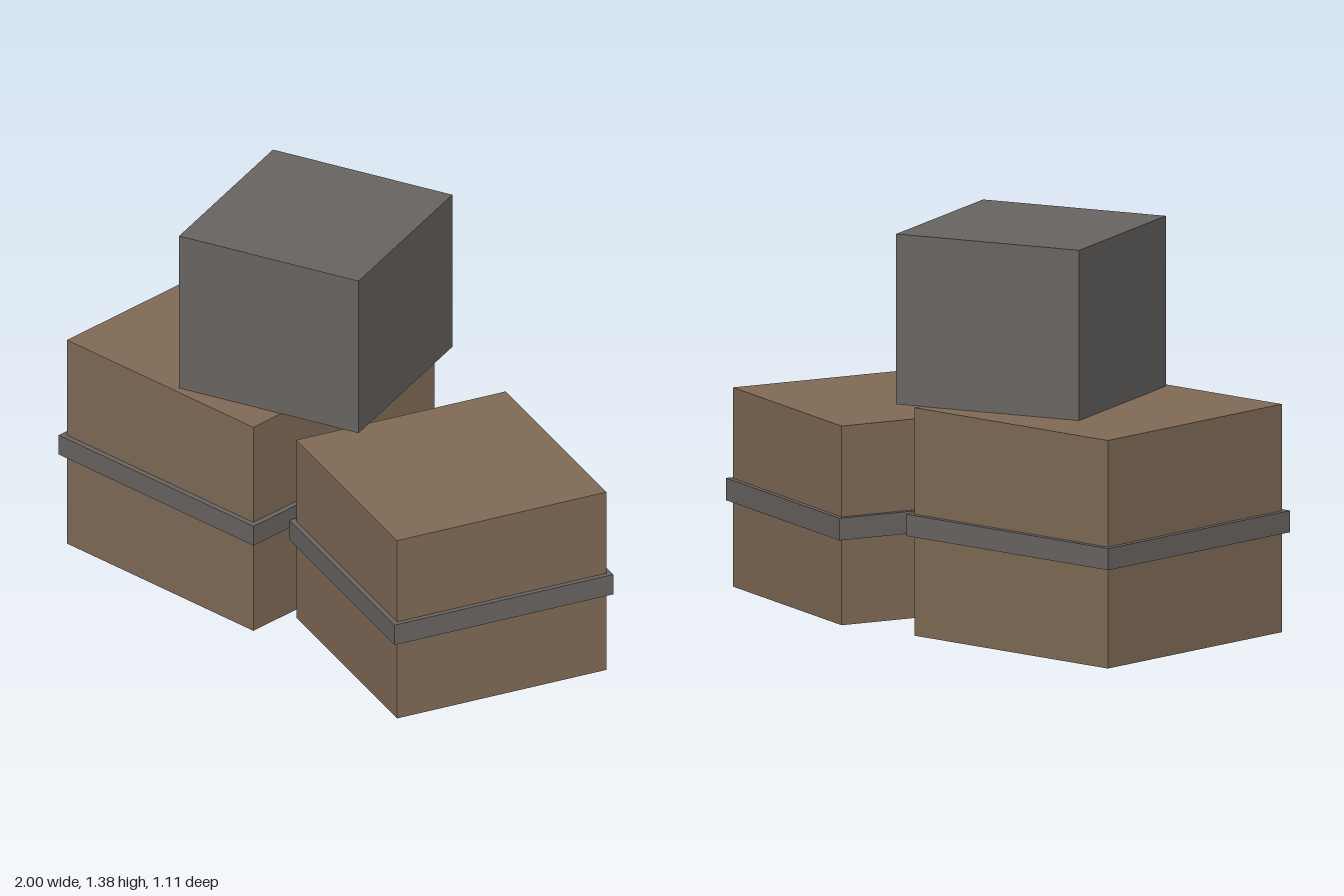
import * as THREE from 'three';

export function createModel() {
  const model = new THREE.Group();
  const brown = new THREE.MeshStandardMaterial({ color: 0x806a56 });
  brown.name = 'crateBrown';
  const grey = new THREE.MeshStandardMaterial({ color: 0x686461 });
  grey.name = 'bandGrey';

  // Square block of the given side, resting at height y0
  function block(name, side, height, y0, material) {
    const mesh = new THREE.Mesh(new THREE.BoxGeometry(side, height, side), material);
    mesh.name = name;
    mesh.position.y = y0 + height / 2;
    return mesh;
  }

  // Group of parts turned about the vertical axis
  function place(name, x, z, turn, ...parts) {
    const group = new THREE.Group();
    group.name = name;
    group.position.set(x, 0, z);
    group.rotation.y = turn;
    group.add(...parts);
    model.add(group);
  }

  // Large crate with its strap
  place('largeCrate', -0.477, 0.034, 0.14,
    block('largeCrateBody', 0.885, 0.79, 0, brown),
    block('largeCrateBand', 0.925, 0.075, 0.346, grey));

  // Small crate with its strap
  place('smallCrate', 0.508, -0.066, -0.21,
    block('smallCrateBody', 0.79, 0.69, 0, brown),
    block('smallCrateBand', 0.826, 0.077, 0.298, grey));

  // Plain grey crate stacked on the large one
  place('topCrate', -0.182, -0.017, 0.43,
    block('topCrateBody', 0.689, 0.59, 0.79, grey));

  return model;
}
